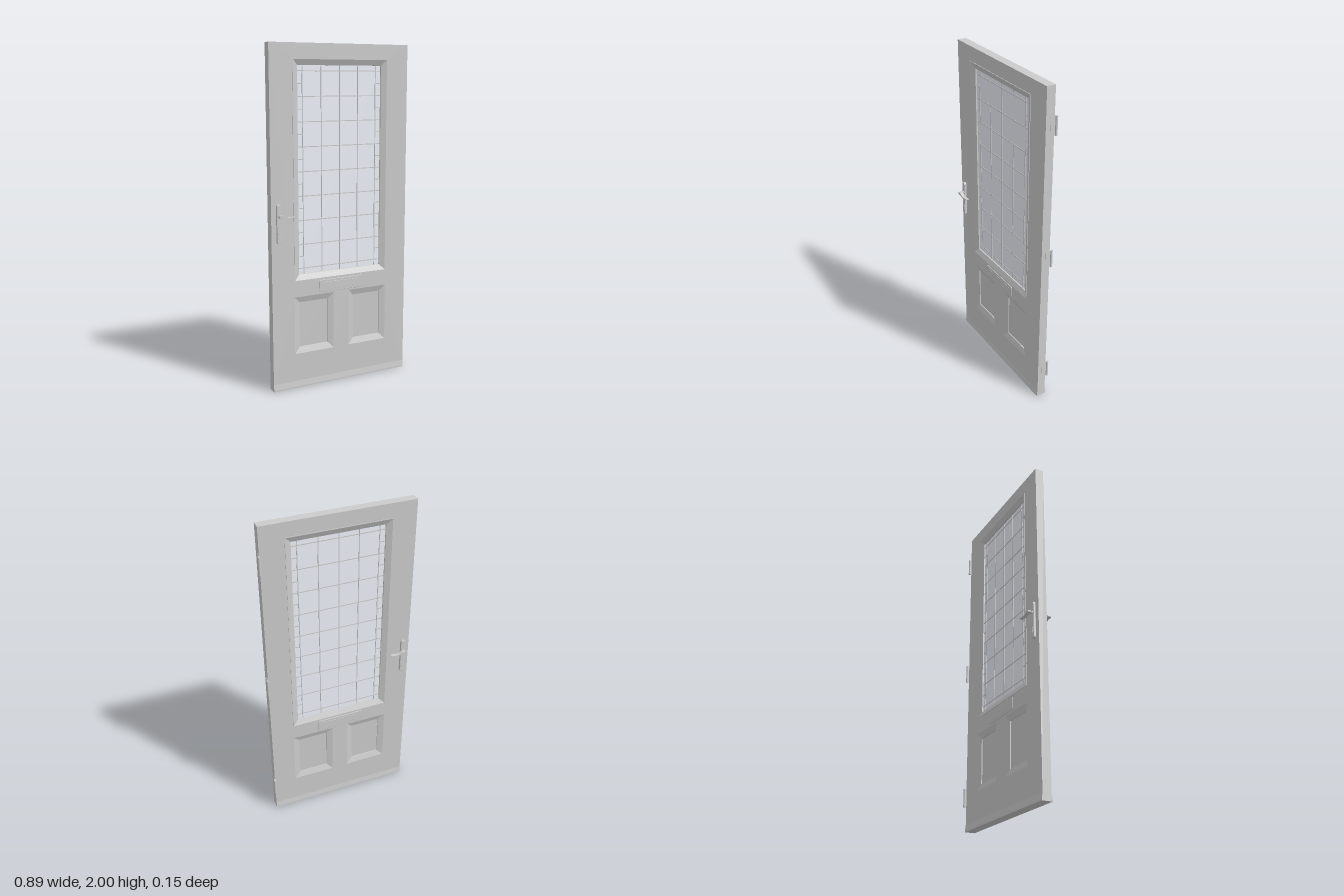
import * as THREE from 'three';

const grey = new THREE.MeshStandardMaterial({ color: 0xcccccc });
const glass = new THREE.MeshStandardMaterial({ color: 0xeef2fa });
const HALF_W = 0.442, HALF_T = 0.026;

function add(parent, name, geometry, x = 0, y = 0, z = 0, material = grey) {
  const mesh = new THREE.Mesh(geometry, material);
  mesh.name = name;
  mesh.position.set(x, y, z);
  parent.add(mesh);
  return mesh;
}

const box = (w, h, d) => new THREE.BoxGeometry(w, h, d);

function rectPath(r, PathType) {
  const p = new PathType();
  p.moveTo(r.x0, r.y0);
  p.lineTo(r.x1, r.y0);
  p.lineTo(r.x1, r.y1);
  p.lineTo(r.x0, r.y1);
  p.closePath();
  return p;
}

function roundedShape(w, h, r) {
  const s = new THREE.Shape();
  s.absarc(w / 2 - r, h / 2 - r, r, 0, Math.PI / 2);
  s.absarc(-w / 2 + r, h / 2 - r, r, Math.PI / 2, Math.PI);
  s.absarc(-w / 2 + r, -h / 2 + r, r, Math.PI, Math.PI * 1.5);
  s.absarc(w / 2 - r, -h / 2 + r, r, Math.PI * 1.5, Math.PI * 2);
  s.closePath();
  return s;
}

// Plate lying on z = -depth/2 .. depth/2
function plate(w, h, r, depth, bevel) {
  const g = new THREE.ExtrudeGeometry(roundedShape(w - 2 * bevel, h - 2 * bevel, r - bevel), {
    depth: depth - 2 * bevel, bevelSize: bevel, bevelThickness: bevel, bevelSegments: 2, curveSegments: 8,
  });
  g.center();
  return g;
}

// Mitred moulding: a profile of [inset, z] swept round a rectangle
function moulding(r, profile) {
  const ring = ([d, z]) => [
    [r.x0 + d, r.y0 + d, z], [r.x1 - d, r.y0 + d, z],
    [r.x1 - d, r.y1 - d, z], [r.x0 + d, r.y1 - d, z]];
  const pos = [];
  for (let k = 0; k < profile.length - 1; k++) {
    const a = ring(profile[k]), b = ring(profile[k + 1]);
    for (let i = 0; i < 4; i++) {
      const j = (i + 1) % 4;
      pos.push(...a[i], ...a[j], ...b[j], ...a[i], ...b[j], ...b[i]);
    }
  }
  const g = new THREE.BufferGeometry();
  g.setAttribute('position', new THREE.Float32BufferAttribute(pos, 3));
  g.computeVertexNormals();
  return g;
}

const windowRect = { x0: -0.304, x1: 0.304, y0: 0.65, y1: 1.915 };
const panelRects = [
  { x0: -0.304, x1: -0.05, y0: 0.21, y1: 0.555 },
  { x0: 0.05, x1: 0.304, y0: 0.21, y1: 0.555 },
];

// Trim of one door face, seen from +z
function createFace() {
  const face = new THREE.Group();
  add(face, 'windowMoulding', moulding(windowRect,
    [[0, HALF_T], [0, 0.029], [0.004, 0.029], [0.036, 0.014], [0.036, 0.005]]));
  for (const r of panelRects) {
    add(face, 'panelMoulding', moulding(r, [[0, HALF_T], [0.036, 0.014], [0.036, 0.007]]));
  }

  // Lead lattice on the glass
  const lead = new THREE.Group();
  lead.name = 'leadLattice';
  face.add(lead);
  const z = 0.007, yMid = 1.2825, span = 1.19;
  for (const x of [-0.235, -0.1175, 0, 0.1175, 0.235]) {
    add(lead, 'verticalLead', box(0.005, span, 0.003), x, yMid, z);
  }
  for (let i = 0; i < 9; i++) {
    const y = 0.72 + i * 0.141;
    add(lead, 'horizontalLead', box(0.534, 0.005, 0.003), 0, y, z);
    if (i < 8) for (const s of [-1, 1]) {
      add(lead, 'borderLead', box(0.033, 0.005, 0.003), s * 0.251, y + 0.0705, z);
    }
  }

  // Letterbox
  add(face, 'letterboxPlate', plate(0.29, 0.074, 0.012, 0.007, 0.0015), 0, 0.603, HALF_T + 0.001);
  add(face, 'letterboxFlap', plate(0.235, 0.045, 0.004, 0.004, 0.001), 0, 0.603, 0.0295);

  // Sloped weather strip along the foot
  const s = new THREE.Shape();
  s.moveTo(0.02, 0);
  s.lineTo(0.031, 0);
  s.lineTo(0.031, 0.008);
  s.lineTo(HALF_T, 0.042);
  s.lineTo(0.02, 0.042);
  s.closePath();
  const strip = new THREE.ExtrudeGeometry(s, { depth: HALF_W * 2, bevelEnabled: false });
  strip.rotateY(-Math.PI / 2);
  add(face, 'weatherStrip', strip, HALF_W, 0, 0);
  return face;
}

// Wavy lever outline, extruded through its depth
function leverGeometry() {
  const s = new THREE.Shape();
  s.moveTo(0, 0.009);
  s.bezierCurveTo(0.02, 0.012, 0.028, -0.004, 0.048, -0.005);
  s.bezierCurveTo(0.065, -0.006, 0.075, -0.001, 0.088, -0.004);
  s.lineTo(0.087, -0.009);
  s.bezierCurveTo(0.07, -0.008, 0.06, -0.014, 0.042, -0.012);
  s.bezierCurveTo(0.025, -0.01, 0.015, -0.004, 0, -0.008);
  s.absarc(0, 0.0005, 0.0085, -Math.PI / 2, -Math.PI * 1.5, true);
  const g = new THREE.ExtrudeGeometry(s, { depth: 0.02, bevelEnabled: false, curveSegments: 10 });
  return g.translate(0, 0, -0.01);
}

function createHandle(side) {
  const handle = new THREE.Group();
  handle.name = side > 0 ? 'frontHandle' : 'backHandle';
  const rod = (r, len) => new THREE.CylinderGeometry(r, r, len, 20).rotateX(Math.PI / 2);
  add(handle, 'handlePlate', plate(0.026, 0.226, 0.0129, 0.016, 0.003), 0, 0.998, side * 0.034);
  add(handle, 'handleCollar', rod(0.009, 0.006), 0, 1.043, side * 0.044);
  add(handle, 'spindle', rod(0.006, 0.03), 0, 1.043, side * 0.05);
  add(handle, 'lever', leverGeometry(), 0, 1.043, side * 0.064);
  add(handle, 'lockCylinder', rod(0.008, 0.008), 0, 0.945, side * 0.041);
  add(handle, 'lockBody', box(0.007, 0.022, 0.006), 0, 0.932, side * 0.041);
  handle.position.x = -0.4;
  return handle;
}

export function createModel() {
  const door = new THREE.Group();
  door.name = 'door';
  door.position.x = -0.005;

  // Slab with openings for the window and lower panels
  const outline = rectPath({ x0: -HALF_W, x1: HALF_W, y0: 0, y1: 2 }, THREE.Shape);
  for (const r of [windowRect, ...panelRects]) outline.holes.push(rectPath(r, THREE.Path));
  add(door, 'doorSlab', new THREE.ExtrudeGeometry(outline,
    { depth: HALF_T * 2, bevelEnabled: false }), 0, 0, -HALF_T);

  // Infill
  add(door, 'glassPane', box(0.54, 1.197, 0.012), 0, 1.2825, 0, glass);
  for (const r of panelRects) {
    add(door, 'lowerPanel', box(r.x1 - r.x0 - 0.068, r.y1 - r.y0 - 0.068, 0.016),
      (r.x0 + r.x1) / 2, (r.y0 + r.y1) / 2, 0);
  }

  // Both faces
  const front = createFace(), back = createFace();
  front.name = 'frontTrim';
  back.name = 'backTrim';
  back.rotation.y = Math.PI;
  door.add(front, back, createHandle(1), createHandle(-1));

  // Hinges on the back of the left edge
  for (const y of [0.2, 0.995, 1.785]) {
    const hinge = new THREE.Group();
    hinge.name = 'hinge';
    add(hinge, 'hingeKnuckle', new THREE.CylinderGeometry(0.007, 0.007, 0.108, 16), 0.445, y, -0.036);
    add(hinge, 'hingeLeaf', box(0.003, 0.104, 0.036), 0.4425, y, -0.018);
    door.add(hinge);
  }

  const model = new THREE.Group();
  model.add(door);
  return model;
}
